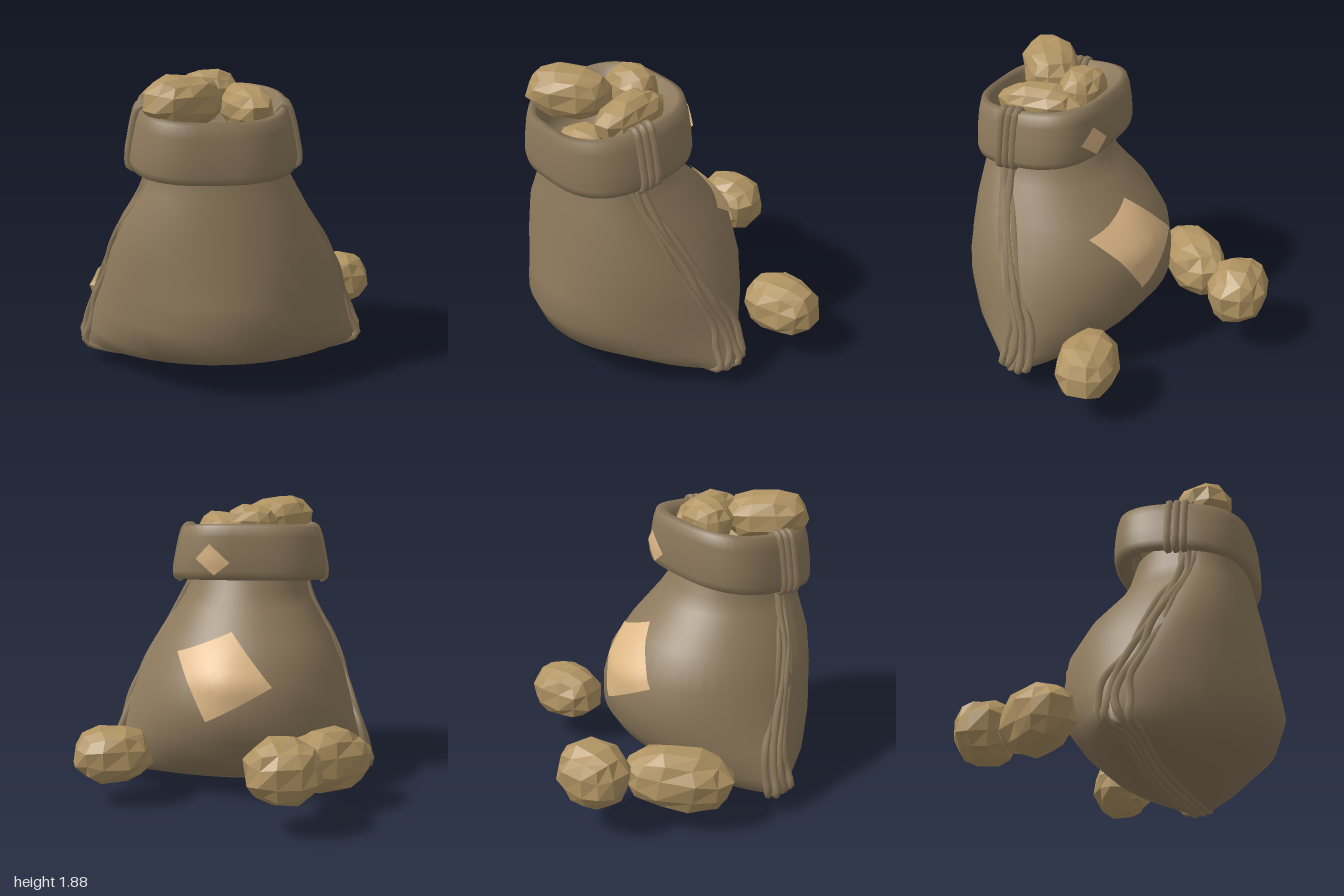
import * as THREE from 'three';

const sackMat = new THREE.MeshStandardMaterial({ color: 0x8d795c, side: THREE.DoubleSide });
sackMat.name = 'burlap';
const potatoMat = new THREE.MeshStandardMaterial({ color: 0xb19463, flatShading: true });
potatoMat.name = 'potato skin';
const patchMat = new THREE.MeshStandardMaterial({ color: 0xdeb887, side: THREE.DoubleSide });
patchMat.name = 'patch cloth';

// Sack sections: y, right x, left x, seam z, back z, front z, roundness, corner lift
const SECTIONS = [
  [1.45, -0.48, 0.24, 0.54, 0.12, 0.82, 0.42, 0],
  [1.30, -0.50, 0.29, 0.54, 0.06, 0.84, 0.42, 0],
  [1.20, -0.54, 0.35, 0.52, 0.00, 0.86, 0.42, 0],
  [1.00, -0.66, 0.47, 0.46, -0.20, 0.90, 0.43, 0],
  [0.80, -0.74, 0.58, 0.38, -0.33, 0.93, 0.48, 0],
  [0.60, -0.80, 0.67, 0.30, -0.36, 0.97, 0.58, 0],
  [0.42, -0.87, 0.73, 0.22, -0.34, 1.00, 0.70, 0],
  [0.25, -0.92, 0.79, 0.20, -0.22, 0.93, 0.72, 0],
  [0.14, -0.94, 0.83, 0.22, -0.10, 0.72, 0.75, 0.01],
  [0.07, -0.92, 0.82, 0.25, 0.08, 0.50, 0.75, 0.05],
  [0.03, -0.90, 0.80, 0.27, 0.25, 0.29, 0.75, 0.09],
];

function sectionAt(y) {
  let i = 0;
  while (i < SECTIONS.length - 2 && SECTIONS[i + 1][0] > y) i++;
  const a = SECTIONS[i], b = SECTIONS[i + 1];
  const t = THREE.MathUtils.clamp((y - a[0]) / (b[0] - a[0]), 0, 1);
  return a.map((v, k) => v + (b[k] - v) * t);
}

function bodyPoint(s, angle) {
  const u = Math.cos(angle), w = Math.sin(angle);
  const depth = Math.pow(Math.abs(w), 2 * s[6]);
  return new THREE.Vector3(
    (s[1] + s[2]) / 2 + u * (s[2] - s[1]) / 2,
    s[0] + s[7] * u * u,
    s[3] + depth * ((w > 0 ? s[5] : s[4]) - s[3])
  );
}

// Back surface of the sack at a given x and y
function bodyBackZ(x, y) {
  const s = sectionAt(y);
  const u = (x - (s[1] + s[2]) / 2) / ((s[2] - s[1]) / 2);
  return s[3] + (s[4] - s[3]) * Math.pow(Math.max(0, 1 - u * u), s[6]);
}

// Rolled cuff profile from the inner floor over the rim to the tucked edge: x scale, z scale, y, z shift
const CUFF = [
  [0.01, 0.01, 1.40, 0.05], [0.58, 0.62, 1.42, 0.06], [0.64, 0.70, 1.55, 0.05], [0.72, 0.80, 1.66, 0.03],
  [0.80, 0.88, 1.705, 0.01], [0.87, 0.95, 1.69, 0], [0.92, 0.98, 1.62, 0], [0.97, 1, 1.50, 0],
  [1, 1, 1.40, 0], [0.98, 0.98, 1.355, 0], [0.92, 0.93, 1.345, 0], [0.72, 0.78, 1.42, 0],
];
const CX = -0.12, CZ = 0.45, RX = 0.51, RZ = 0.44, POWER = 0.7;
const curvePower = v => Math.sign(v) * Math.pow(Math.abs(v), POWER);
const tilt = z => -0.12 * (z - CZ);

function cuffPoint(p, angle) {
  const z = CZ + p[3] + RZ * p[1] * curvePower(Math.sin(angle));
  const taper = 1 - 0.08 * Math.max(0, z - CZ) / RZ;
  return new THREE.Vector3(CX + RX * p[0] * taper * curvePower(Math.cos(angle)), p[2] + tilt(z), z);
}

// Skin a list of sections with a wrapped surface
function loft(rows, pointAt, n) {
  const pos = [], index = [];
  rows.forEach(r => {
    for (let i = 0; i < n; i++) pos.push(...pointAt(r, i / n * Math.PI * 2).toArray());
  });
  for (let r = 0; r < rows.length - 1; r++) {
    for (let i = 0; i < n; i++) {
      const a = r * n + i, b = r * n + (i + 1) % n, c = a + n, d = b + n;
      index.push(a, b, c, b, d, c);
    }
  }
  const g = new THREE.BufferGeometry();
  g.setAttribute('position', new THREE.Float32BufferAttribute(pos, 3));
  g.setIndex(index);
  g.computeVertexNormals();
  return g;
}

function add(parent, name, geometry, material) {
  const mesh = new THREE.Mesh(geometry, material);
  mesh.name = name;
  parent.add(mesh);
  return mesh;
}

function tube(points, radius, segments) {
  return new THREE.TubeGeometry(new THREE.CatmullRomCurve3(points), segments, radius, 6, false);
}

// Cloth square following a surface; corners are [x, y] seen from behind: top left, top right, bottom left, bottom right
function patch(corners, backZ, bulge) {
  const g = new THREE.PlaneGeometry(1, 1, 8, 8), p = g.attributes.position;
  const [tl, tr, bl, br] = corners;
  for (let i = 0; i < p.count; i++) {
    const u = p.getX(i) + 0.5, v = p.getY(i) + 0.5;
    const mix = k => (tl[k] * (1 - u) + tr[k] * u) * v + (bl[k] * (1 - u) + br[k] * u) * (1 - v);
    const x = mix(0), y = mix(1);
    p.setXYZ(i, x, y, backZ(x, y) - 0.015 - bulge * Math.sin(u * Math.PI) * Math.sin(v * Math.PI));
  }
  g.computeVertexNormals();
  return g;
}

// Faceted lumpy potato: a divided box rounded into an ellipsoid
function potato(seed) {
  const g = new THREE.BoxGeometry(2, 2, 2, 3, 3, 3), p = g.attributes.position;
  const v = new THREE.Vector3();
  for (let i = 0; i < p.count; i++) {
    v.fromBufferAttribute(p, i);
    const bump = 1.05 + 0.05 * Math.sin(v.x * 3.1 + v.y * 4.7 + v.z * 2.3 + seed * 1.9);
    v.normalize().multiplyScalar(bump);
    p.setXYZ(i, v.x, v.y, v.z);
  }
  g.computeVertexNormals();
  return g;
}

export function createModel() {
  const model = new THREE.Group();
  model.name = 'potatoSack';

  add(model, 'sackBody', loft(SECTIONS, bodyPoint, 48), sackMat);
  add(model, 'rolledCuff', loft(CUFF, cuffPoint, 48), sackMat);

  // Gathered seam running down one side, under the sack and up the other
  const seam = new THREE.Group();
  seam.name = 'seam';
  model.add(seam);
  const heights = [1.4, 1.2, 1.0, 0.8, 0.6, 0.42, 0.28, 0.16];
  [-1.5, -0.5, 0.5, 1.5].forEach((k, j) => {
    const side = dir => heights.map((y, i) => {
      const s = sectionAt(y);
      const spread = 0.026 + 0.05 * Math.pow(1 - y / 1.4, 2);
      const wave = 0.012 * Math.sin(i * 2.1 + j * 2.6);
      return new THREE.Vector3((dir > 0 ? s[2] : s[1]) - dir * (Math.abs(k) * 0.014 + wave * 0.7), y, s[3] + k * spread + wave);
    });
    const under = [-0.85, -0.45, 0, 0.45, 0.85].map((u, i) => new THREE.Vector3(
      -0.05 + 0.87 * u, 0.027 + 0.09 * u * u + Math.abs(k) * 0.014,
      0.27 + k * 0.04 + 0.01 * Math.sin(i * 2 + j)));
    add(seam, 'seamFold', tube([...side(-1), ...under, ...side(1).reverse()], 0.025, 110), sackMat);
  });

  // Seam folds wrapped over the cuff
  for (const dir of [-1, 1]) {
    for (const dz of [-0.05, 0, 0.05]) {
      const pts = CUFF.slice(3, 11).map(p => {
        const z = CZ + 0.05 + dz;
        return new THREE.Vector3(CX + dir * RX * p[0] * 0.985, p[2] + tilt(z), z);
      });
      add(seam, 'cuffFold', tube(pts, 0.025, 24), sackMat);
    }
  }

  // Patches on the back
  add(model, 'bodyPatch', patch([[0.33, 0.95], [-0.02, 1.09], [0.135, 0.56], [-0.28, 0.78]], bodyBackZ, 0.025), patchMat);
  const cuffBackZ = x => {
    const n = 2 / POWER;
    return CZ - RZ * Math.pow(1 - Math.pow(Math.abs((x - CX) / RX), n), 1 / n);
  };
  add(model, 'cuffPatch', patch([[0.22, 1.53], [0.13, 1.63], [0.1, 1.43], [0.0, 1.51]], cuffBackZ, 0.006), patchMat);

  // Potatoes: name, centre, half sizes, turn about y, lean about z
  [
    ['looseLeftPotato', [0.725, 0.33, -0.28], [0.25, 0.18, 0.19], 0.25, 0],
    ['looseBackPotato', [-0.355, 0.4, -0.8], [0.235, 0.2, 0.195], 0.2, 0],
    ['looseRightPotato', [-0.625, 0.33, -0.355], [0.34, 0.2, 0.19], 0.79, 0.1],
    ['topFrontPotato', [-0.3, 1.73, 0.58], [0.26, 0.155, 0.18], 0.7, -0.08],
    ['topBackPotato', [-0.13, 1.72, 0.24], [0.175, 0.14, 0.14], 0, 0],
    ['topLeftPotato', [0.08, 1.66, 0.42], [0.27, 0.135, 0.14], -1.32, 0],
    ['buriedPotato', [-0.06, 1.46, 0.62], [0.22, 0.13, 0.16], 0.2, 0],
  ].forEach(([name, at, size, turn, lean], i) => {
    const mesh = add(model, name, potato(i), potatoMat);
    mesh.position.set(...at);
    mesh.scale.set(...size);
    mesh.rotation.set(0, turn, lean);
  });

  return model;
}
